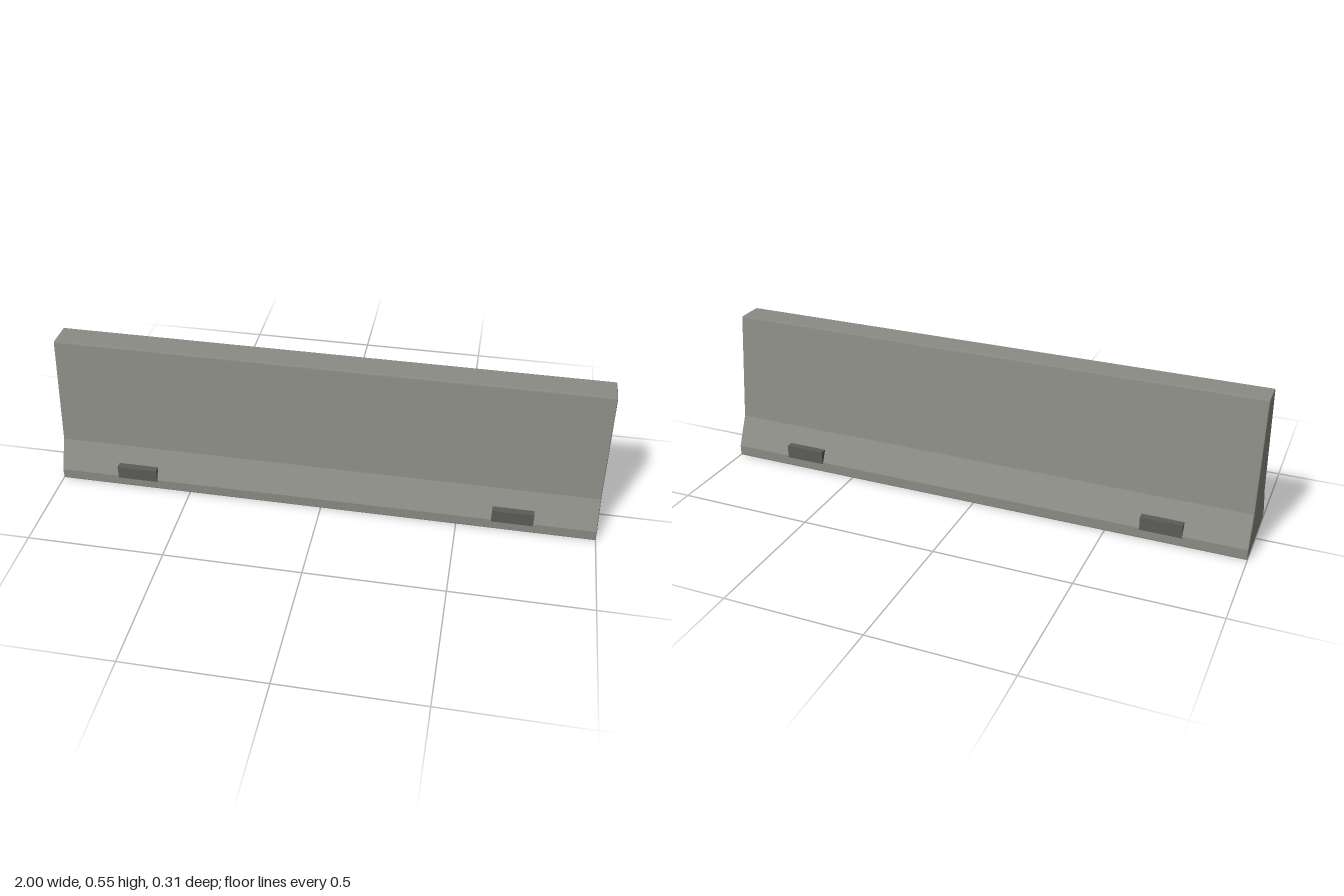
import * as THREE from 'three';

const LENGTH = 2, BEVEL = 0.004;

export function createModel() {
  const group = new THREE.Group();
  group.name = 'roadBarrier';
  const concrete = new THREE.MeshStandardMaterial({ color: 0x8a8c84, flatShading: true });
  const dark = new THREE.MeshStandardMaterial({ color: 0x5c5c5a, flatShading: true });

  // Half of the cross-section (half width, height), mirrored to a closed outline
  const half = [
    [0.146, 0], [0.149, 0.001], [0.15, 0.004], [0.15, 0.04],
    [0.1, 0.15], [0.0507, 0.545], [0.0495, 0.549], [0.046, 0.55],
  ];
  const outline = [...half, ...half.map(([w, h]) => [-w, h]).reverse()];
  const shape = new THREE.Shape(outline.map(([w, h]) => new THREE.Vector2(w, h)));

  // Barrier body with slightly eased end edges
  const bodyGeometry = new THREE.ExtrudeGeometry(shape, {
    depth: LENGTH - 2 * BEVEL,
    bevelEnabled: true,
    bevelThickness: BEVEL,
    bevelSize: BEVEL,
    bevelOffset: -BEVEL,
    bevelSegments: 2,
  });
  bodyGeometry.translate(0, 0, BEVEL - LENGTH / 2);
  bodyGeometry.rotateY(Math.PI / 2);
  const body = new THREE.Mesh(bodyGeometry, concrete);
  body.name = 'barrierBody';
  group.add(body);

  // Lifting blocks set into the sloped foot on both faces
  const blockGeometry = new THREE.BoxGeometry(0.15, 0.05, 0.05);
  for (const sx of [1, -1]) {
    for (const sz of [1, -1]) {
      const block = new THREE.Mesh(blockGeometry, dark);
      block.name = `${sz > 0 ? 'front' : 'back'}${sx > 0 ? 'Left' : 'Right'}LiftingBlock`;
      block.position.set(sx * 0.7, 0.061, sz * 0.13);
      group.add(block);
    }
  }
  return group;
}
